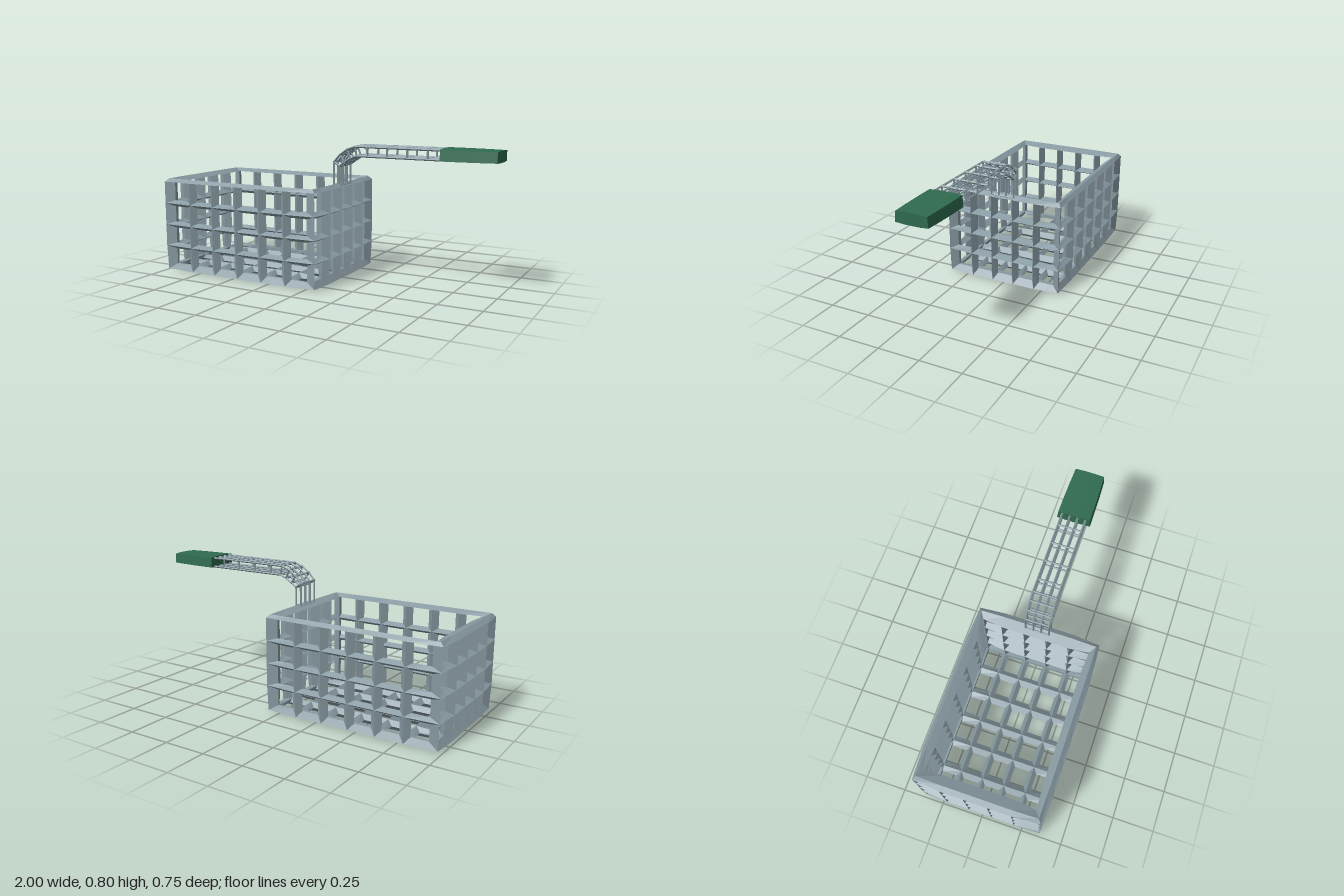
import * as THREE from 'three';

const steel = new THREE.MeshStandardMaterial({ color: 0x8799a1 });
steel.name = 'steel';
steel.flatShading = true;
const green = new THREE.MeshStandardMaterial({ color: 0x2f6b50 });
green.name = 'gripGreen';
green.flatShading = true;

const V = (x, y, z) => new THREE.Vector3(x, y, z);

// Basket lattice: grid cells per axis, and the size and thickness of its bars
const CELLS = V(6, 4, 5);
const STEP = V(0.166, 0.1323, 0.137);
const ORIGIN = V(-0.955, 0.028, -0.3425);
const DEPTH = V(0.044, 0.027, 0.031);
const INSET = V(0.032, 0.019, 0.023);

function basketGeometry() {
  const positions = [];
  const quad = (a, b, c, d) => {
    for (const p of [a, b, c, a, c, d]) positions.push(p.x, p.y, p.z);
  };

  // Outer ridge, inner ridge, opening corner and rim crest for one grid corner
  const corner = (g, centre) => {
    const p = g.clone().multiply(STEP).add(ORIGIN);
    const side = (k, n) => (g[k] === 0 ? -1 : g[k] === n ? 1 : 0);
    const n = V(side('x', CELLS.x), g.y === 0 ? -1 : 0, side('z', CELLS.z)).normalize().multiply(DEPTH);
    const inset = V(
      Math.sign(centre.x - g.x) * INSET.x,
      g.y === CELLS.y ? 0 : Math.sign(centre.y - g.y) * INSET.y,
      Math.sign(centre.z - g.z) * INSET.z
    );
    const crest = p.clone().addScaledVector(n, 0.3);
    crest.y += 0.02;
    return { out: p.clone().add(n), inn: p.clone().sub(n), open: p.clone().add(inset), crest, rim: g.y === CELLS.y };
  };

  // Four walls and the floor: origin, two grid directions, cell counts
  const X = V(1, 0, 0), Y = V(0, 1, 0), Z = V(0, 0, 1);
  const panels = [
    [V(0, 0, 5), X, Y, 6, 4],
    [V(6, 0, 0), X.clone().negate(), Y, 6, 4],
    [V(6, 0, 5), Z.clone().negate(), Y, 5, 4],
    [V(0, 0, 0), Z, Y, 5, 4],
    [V(0, 0, 0), X, Z, 6, 5],
  ];
  for (const [o, u, v, nu, nv] of panels) {
    const at = (i, j) => o.clone().addScaledVector(u, i).addScaledVector(v, j);
    for (let i = 0; i < nu; i++) {
      for (let j = 0; j < nv; j++) {
        const centre = at(i + 0.5, j + 0.5);
        const c = [at(i, j), at(i + 1, j), at(i + 1, j + 1), at(i, j + 1)].map((g) => corner(g, centre));
        c.forEach((a, k) => {
          const b = c[(k + 1) % 4];
          quad(a.out, b.out, b.open, a.open);
          quad(b.inn, a.inn, a.open, b.open);
          if (a.rim && b.rim) {
            quad(b.out, a.out, a.crest, b.crest);
            quad(a.inn, b.inn, b.crest, a.crest);
          }
        });
      }
    }
  }
  const geo = new THREE.BufferGeometry();
  geo.setAttribute('position', new THREE.Float32BufferAttribute(positions, 3));
  geo.computeVertexNormals();
  return geo;
}

// Square wire between two points
function wire(a, b, r = 0.0065) {
  const d = b.clone().sub(a);
  const geo = new THREE.CylinderGeometry(r, r, d.length() + r, 4);
  const mesh = new THREE.Mesh(geo, steel);
  mesh.position.copy(a).add(b).multiplyScalar(0.5);
  mesh.quaternion.setFromUnitVectors(V(0, 1, 0), d.normalize());
  mesh.name = 'handleWire';
  return mesh;
}

function handleFrame() {
  const group = new THREE.Group();
  group.name = 'handleFrame';
  // Outer and inner points of each ring along the bent handle
  const rings = [
    [0.035, 0.568, 0.07, 0.568],
    [0.035, 0.703, 0.07, 0.68],
    [0.073, 0.745, 0.103, 0.703],
    [0.12, 0.778, 0.14, 0.727],
    [0.17, 0.795, 0.18, 0.742],
    ...[0.25, 0.37, 0.49, 0.61, 0.7].map((x) => [x, 0.795, x, 0.742]),
  ];
  const rails = [-0.07, -0.0235, 0.0235, 0.07];
  rings.forEach(([ox, oy, ix, iy], k) => {
    // Rungs across the handle, and struts joining its two layers
    group.add(wire(V(ox, oy, -0.07), V(ox, oy, 0.07)), wire(V(ix, iy, -0.07), V(ix, iy, 0.07)));
    for (const z of [-0.07, 0.07]) group.add(wire(V(ox, oy, z), V(ix, iy, z)));
    // Long rails
    if (k === 0) return;
    const [px, py, qx, qy] = rings[k - 1];
    for (const z of rails) {
      group.add(wire(V(px, py, z), V(ox, oy, z)), wire(V(qx, qy, z), V(ix, iy, z)));
    }
  });
  return group;
}

// Grip: slightly crowned block, narrowing a little toward its end
function gripGeometry() {
  const half = [[0.1, -0.031], [0.095, 0.031], [0.045, 0.035]];
  const shape = new THREE.Shape();
  shape.moveTo(-0.045, -0.035);
  shape.lineTo(0.045, -0.035);
  half.forEach(([z, y]) => shape.lineTo(z, y));
  half.slice().reverse().forEach(([z, y]) => shape.lineTo(-z, y));
  shape.closePath();
  const geo = new THREE.ExtrudeGeometry(shape, { depth: 0.31, steps: 3, bevelEnabled: false });
  const p = geo.attributes.position;
  for (let i = 0; i < p.count; i++) {
    const t = p.getZ(i) / 0.31;
    const s = 1 - 0.08 * t * t;
    p.setX(i, p.getX(i) * s);
    p.setY(i, p.getY(i) * s);
  }
  geo.rotateY(Math.PI / 2);
  geo.translate(0.688, 0.77, 0);
  geo.computeVertexNormals();
  return geo;
}

export function createModel() {
  const model = new THREE.Group();
  model.name = 'fryBasket';
  const basket = new THREE.Mesh(basketGeometry(), steel);
  basket.name = 'basket';
  const grip = new THREE.Mesh(gripGeometry(), green);
  grip.name = 'grip';
  model.add(basket, handleFrame(), grip);
  return model;
}
